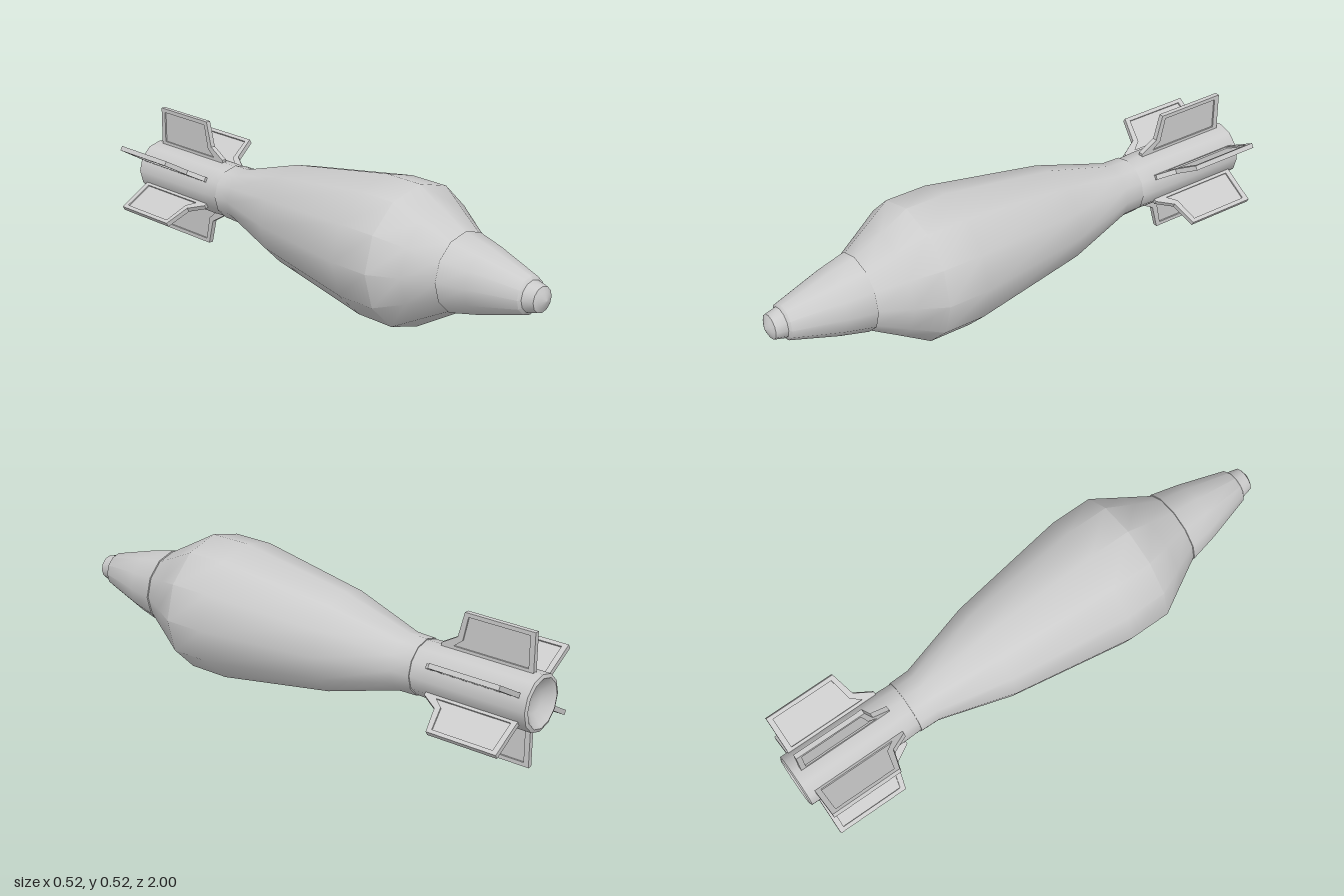
import * as THREE from 'three';
import { toCreasedNormals } from 'three/addons/utils/BufferGeometryUtils.js';

const SIDES = 12;
const AXIS_Y = 0.26;

const material = new THREE.MeshStandardMaterial({ color: 0xcccccc, side: THREE.DoubleSide });

// Turned part around the z axis; profile is [radius, z] from back to front
function turned(name, profile, crease = 0.65) {
  const points = profile.map(([r, z]) => new THREE.Vector2(r, z));
  const geometry = new THREE.LatheGeometry(points, SIDES).rotateX(Math.PI / 2);
  const mesh = new THREE.Mesh(toCreasedNormals(geometry, crease), material);
  mesh.name = name;
  return mesh;
}

// Flat plate in the radius/z plane, centred on its thickness
function plate(name, outline, thickness, opening) {
  const toPoints = (list) => list.map(([r, z]) => new THREE.Vector2(r, z));
  const shape = new THREE.Shape(toPoints(outline));
  if (opening) shape.holes.push(new THREE.Path(toPoints(opening)));
  const geometry = new THREE.ExtrudeGeometry(shape, { depth: thickness, bevelEnabled: false });
  geometry.translate(0, 0, -thickness / 2).rotateX(Math.PI / 2);
  const mesh = new THREE.Mesh(geometry, material);
  mesh.name = name;
  return mesh;
}

// Fin: raised border around a thinner sunk panel
function createFin() {
  const fin = new THREE.Group();
  const outline = [[0.085, -0.965], [0.245, -0.965], [0.245, -0.69], [0.15, -0.665], [0.112, -0.6], [0.085, -0.6]];
  const opening = [[0.112, -0.945], [0.23, -0.945], [0.23, -0.705], [0.14, -0.685], [0.112, -0.65]];
  fin.add(plate('finBorder', outline, 0.018, opening));
  fin.add(plate('finPanel', opening, 0.007));
  return fin;
}

export function createModel() {
  const model = new THREE.Group();
  model.name = 'finnedShell';

  const assembly = new THREE.Group();
  assembly.name = 'assembly';
  assembly.position.y = AXIS_Y;
  model.add(assembly);

  // Teardrop body with its rear shoulder
  assembly.add(turned('body', [
    [0.09, -0.535], [0.104, -0.535], [0.106, -0.46], [0.187, -0.185],
    [0.26, 0.27], [0.26, 0.43], [0.2, 0.535], [0.138, 0.645],
  ]));

  // Tapered nose with a stepped tip
  assembly.add(turned('nose', [
    [0.13, 0.64], [0.145, 0.642], [0.12, 0.75], [0.067, 0.93],
    [0.056, 0.938], [0.046, 0.98], [0.03, 0.988], [0, 1],
  ]));

  // Tail tube with a dished rear end
  assembly.add(turned('tailTube', [
    [0, -0.962], [0.045, -0.968], [0.078, -0.99], [0.09, -1],
    [0.103, -0.995], [0.103, -0.6], [0.1, -0.53],
  ]));

  // Six fins around the tail
  for (let i = 0; i < 6; i++) {
    const fin = createFin();
    fin.name = `fin${i + 1}`;
    fin.rotation.z = Math.PI / 6 + (i * Math.PI) / 3;
    assembly.add(fin);
  }

  return model;
}
